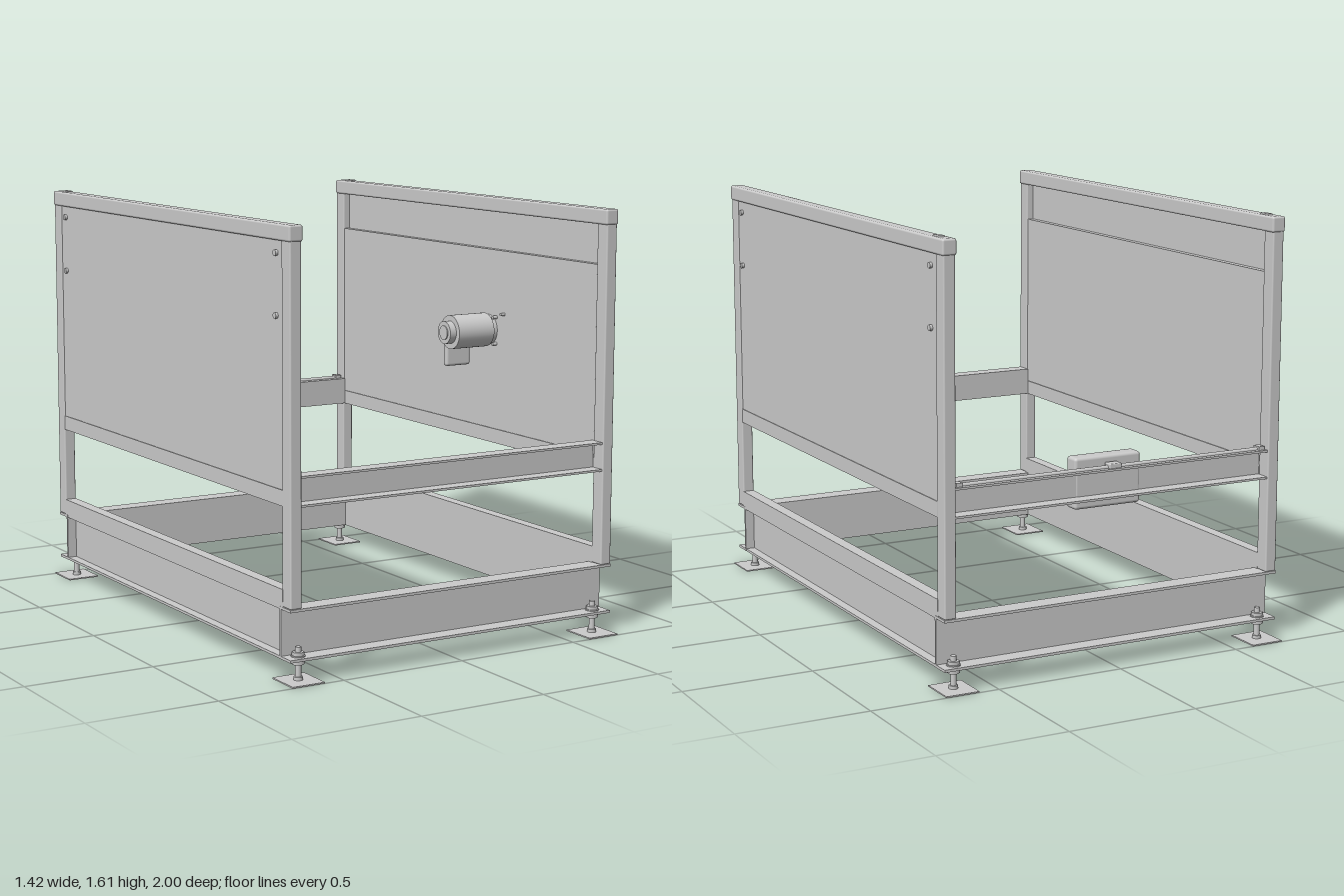
import * as THREE from 'three';
import { RoundedBoxGeometry } from 'three/addons/geometries/RoundedBoxGeometry.js';

const grey = new THREE.MeshStandardMaterial({ color: 0xcccccc });

function add(parent, name, geometry, x = 0, y = 0, z = 0) {
  const mesh = new THREE.Mesh(geometry, grey);
  mesh.name = name;
  mesh.position.set(x, y, z);
  parent.add(mesh);
  return mesh;
}

// Box given by its limits on each axis, with optional rounded edges
function block(parent, name, [x0, x1], [y0, y1], [z0, z1], radius = 0) {
  const size = [x1 - x0, y1 - y0, z1 - z0];
  const geometry = radius ? new RoundedBoxGeometry(...size, 2, radius) : new THREE.BoxGeometry(...size);
  return add(parent, name, geometry, (x0 + x1) / 2, (y0 + y1) / 2, (z0 + z1) / 2);
}

// Cylinder lying along x
function rodX(parent, name, radius, x0, x1, y, z, sides = 32) {
  const mesh = add(parent, name, new THREE.CylinderGeometry(radius, radius, x1 - x0, sides), (x0 + x1) / 2, y, z);
  mesh.rotation.z = Math.PI / 2;
  return mesh;
}

// C-channel whose open side faces outward, turned about y by angle
function channel(parent, name, angle, offset, y0, height, depth, length, t) {
  const s = new THREE.Shape();
  const points = [[0, 0], [depth, 0], [depth, t], [t, t], [t, height - t], [depth, height - t], [depth, height], [0, height]];
  s.setFromPoints(points.map(([u, v]) => new THREE.Vector2(u, v)));
  const geometry = new THREE.ExtrudeGeometry(s, { depth: length, bevelEnabled: false });
  geometry.translate(0, 0, -length / 2);
  const mesh = add(parent, name, geometry, Math.cos(angle) * offset, y0, -Math.sin(angle) * offset);
  mesh.rotation.y = angle;
}

// Levelling foot: plate, threaded stem and two lock nuts
function foot(parent, sx, sz) {
  const g = new THREE.Group();
  g.name = 'levellingFoot';
  g.position.set(sx * 0.643, 0, sz * 0.925);
  block(g, 'footPlate', [-0.065, 0.065], [0, 0.005], [-0.07, 0.075].map((v) => v * 1).sort((a, b) => a - b));
  if (sz < 0) g.rotation.y = Math.PI;
  add(g, 'stemBase', new THREE.CylinderGeometry(0.017, 0.017, 0.012, 24), 0, 0.011, 0);
  add(g, 'stem', new THREE.CylinderGeometry(0.011, 0.011, 0.12, 24), 0, 0.065, 0);
  for (const y of [0.068, 0.1]) {
    add(g, 'lockNut', new THREE.CylinderGeometry(0.023, 0.023, 0.013, 6), 0, y, 0);
    add(g, 'washer', new THREE.CylinderGeometry(0.026, 0.026, 0.004, 24), 0, y < 0.08 ? 0.077 : 0.092, 0);
  }
  parent.add(g);
}

// Side frame with posts, rails and panel, for side s = 1 or -1
function sideFrame(parent, s) {
  const g = new THREE.Group();
  g.name = s > 0 ? 'leftSide' : 'rightSide';
  const span = (a, b) => (s > 0 ? [a, b] : [-b, -a]);
  for (const z of [-0.935, 0.935])
    block(g, 'post', span(0.65, 0.696), [0.27, 1.56], [z - 0.03, z + 0.03], 0.006);
  block(g, 'topRail', span(0.645, 0.7), [1.55, 1.608], [-0.968, 0.968], 0.008);
  block(g, 'bottomRail', span(0.65, 0.696), [0.27, 0.333], [-0.91, 0.91]);
  block(g, 'panelRail', span(0.651, 0.694), [0.628, 0.685], [-0.906, 0.906]);
  block(g, 'outerSheet', span(0.68, 0.691), [0.68, 1.555], [-0.906, 0.906]);
  block(g, 'innerSheet', span(0.655, 0.68), [0.68, 1.4], [-0.906, 0.906]);
  for (const z of [-0.862, 0.865])
    for (const y of [1.29, 1.507])
      rodX(g, 'panelBolt', 0.011, ...span(0.688, 0.701), y, z, 16);
  block(g, 'topRailStop', span(0.66, 0.685), [1.6, 1.613], [-0.91, -0.86], 0.004);
  parent.add(g);
}

// Motor mounted on the inside of the left panel
function motor(parent) {
  const g = new THREE.Group();
  g.name = 'motor';
  const y = 1.08, z = 0.203;
  rodX(g, 'motorBody', 0.067, 0.47, 0.636, y, z, 40);
  rodX(g, 'motorFlange', 0.06, 0.636, 0.656, y, z, 40);
  rodX(g, 'motorEndCap', 0.045, 0.442, 0.47, y, z, 32);
  rodX(g, 'motorHub', 0.028, 0.438, 0.442, y, z, 24);
  block(g, 'terminalPlate', [0.497, 0.612], [0.933, 1.13], [0.113, 0.14], 0.011);
  for (let i = 0; i < 4; i++) {
    const a = Math.PI / 4 + (i * Math.PI) / 2;
    rodX(g, 'flangeBolt', 0.007, 0.636, 0.657, y + 0.075 * Math.sin(a), z + 0.075 * Math.cos(a), 12);
  }
  rodX(g, 'cablePin', 0.006, 0.636, 0.657, 1.15, 0.31, 12);
  parent.add(g);
}

export function createModel() {
  const model = new THREE.Group();
  model.name = 'machineFrame';

  // Base of four outward-facing channels
  for (const angle of [-Math.PI / 2, Math.PI / 2])
    channel(model, 'baseEndChannel', angle, 0.888, 0.08, 0.19, 0.077, 1.394, 0.01);
  for (const angle of [0, Math.PI])
    channel(model, 'baseSideChannel', angle, 0.65, 0.08, 0.19, 0.046, 1.776, 0.01);

  // Cross members between the posts
  for (const angle of [-Math.PI / 2, Math.PI / 2])
    channel(model, 'crossMember', angle, 0.895, 0.628, 0.11, 0.065, 1.302, 0.008);

  for (const s of [1, -1]) {
    sideFrame(model, s);
    for (const e of [1, -1]) foot(model, s, e);
  }

  // Tie rod and control box on the back cross member
  rodX(model, 'tieRod', 0.009, -0.64, 0.64, 0.739, -0.932, 16);
  for (const x of [-0.63, 0.63])
    block(model, 'rodBracket', [x - 0.012, x + 0.012], [0.735, 0.752], [-0.95, -0.914]);
  block(model, 'rodClamp', [-0.025, 0.025], [0.735, 0.755], [-0.952, -0.912], 0.004);
  block(model, 'clampArm', [-0.01, 0.01], [0.738, 0.75], [-0.915, -0.9]);
  block(model, 'controlBox', [-0.132, 0.142], [0.587, 0.778], [-0.905, -0.84], 0.012);

  motor(model);
  return model;
}
